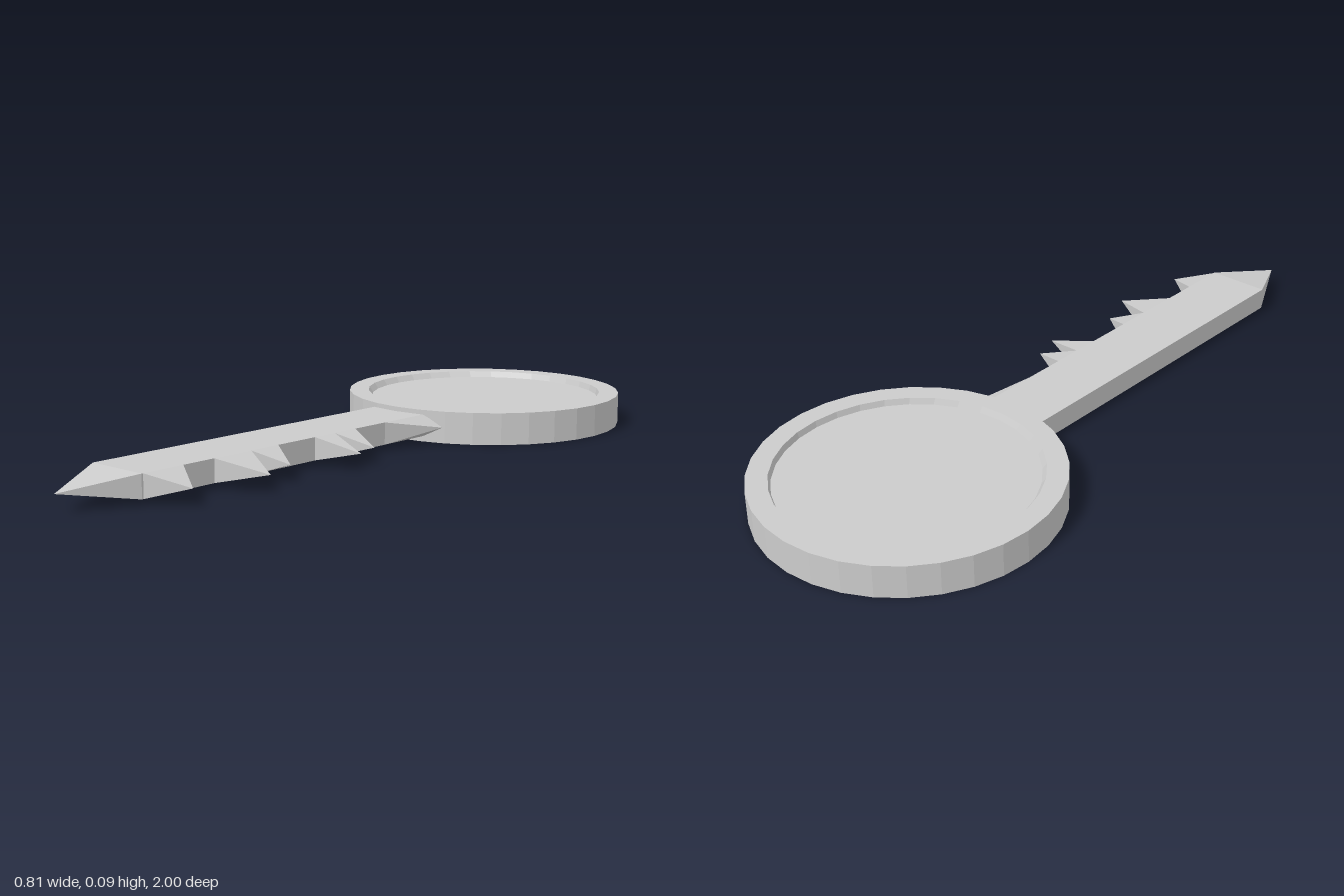
import * as THREE from 'three';

const material = new THREE.MeshStandardMaterial({ color: 0xcccccc, flatShading: true });
const Y0 = 0.015, Y1 = 0.077, MID = 0.046, HALF = 0.09;

function part(name, geometry) {
  const mesh = new THREE.Mesh(geometry, material);
  mesh.name = name;
  return mesh;
}

// Open pyramid: four base corners (counter-clockwise from outside) rising to an apex
function spike(base, apex) {
  const pos = base.flatMap((corner, i) => [...corner, ...base[(i + 1) % 4], ...apex]);
  const geometry = new THREE.BufferGeometry();
  geometry.setAttribute('position', new THREE.Float32BufferAttribute(pos, 3));
  geometry.computeVertexNormals();
  return geometry;
}

// Tooth on the +x side of the blade, spanning z0..z1
function tooth(z0, z1, apexX, apexZ) {
  return spike(
    [[HALF, Y0, z1], [HALF, Y0, z0], [HALF, Y1, z0], [HALF, Y1, z1]],
    [apexX, MID, apexZ]
  );
}

export function createModel() {
  const key = new THREE.Group();
  key.name = 'key';

  // Round head: solid disc with a shallow recess on top
  const floorY = 0.073;
  const profile = [[0, 0], [0.4025, 0], [0.4025, 0.09], [0.346, 0.09], [0.338, floorY], [0, floorY]];
  const head = new THREE.LatheGeometry(profile.map(([x, y]) => new THREE.Vector2(x, y)), 32);
  // The recess floor sits slightly off centre
  const p = head.attributes.position;
  for (let i = 0; i < p.count; i++) {
    if (Math.abs(p.getY(i) - floorY) < 1e-4) p.setX(i, p.getX(i) + 0.004);
  }
  head.translate(0, 0, -0.5975);
  key.add(part('head', head));

  // Straight blade, its back end buried in the head rim
  const back = -0.235, front = 0.815;
  const blade = new THREE.BoxGeometry(HALF * 2, Y1 - Y0, front - back);
  blade.translate(0, MID, (front + back) / 2);
  key.add(part('blade', blade));

  // Pointed tip
  key.add(part('tip', spike(
    [[-HALF, Y0, front], [HALF, Y0, front], [HALF, Y1, front], [-HALF, Y1, front]],
    [0, MID, 1]
  )));

  // Shoulder beside the head, then the teeth: z0, z1, apex x, apex z
  key.add(part('shoulder', tooth(-0.21, -0.045, 0.152, -0.217)));
  [
    [0.075, 0.155, 0.195, 0.115],
    [0.155, 0.23, 0.22, 0.195],
    [0.365, 0.46, 0.18, 0.412],
    [0.46, 0.585, 0.225, 0.525],
    [0.685, 0.81, 0.193, 0.747],
  ].forEach((t, i) => key.add(part(`tooth${i + 1}`, tooth(...t))));

  return key;
}
